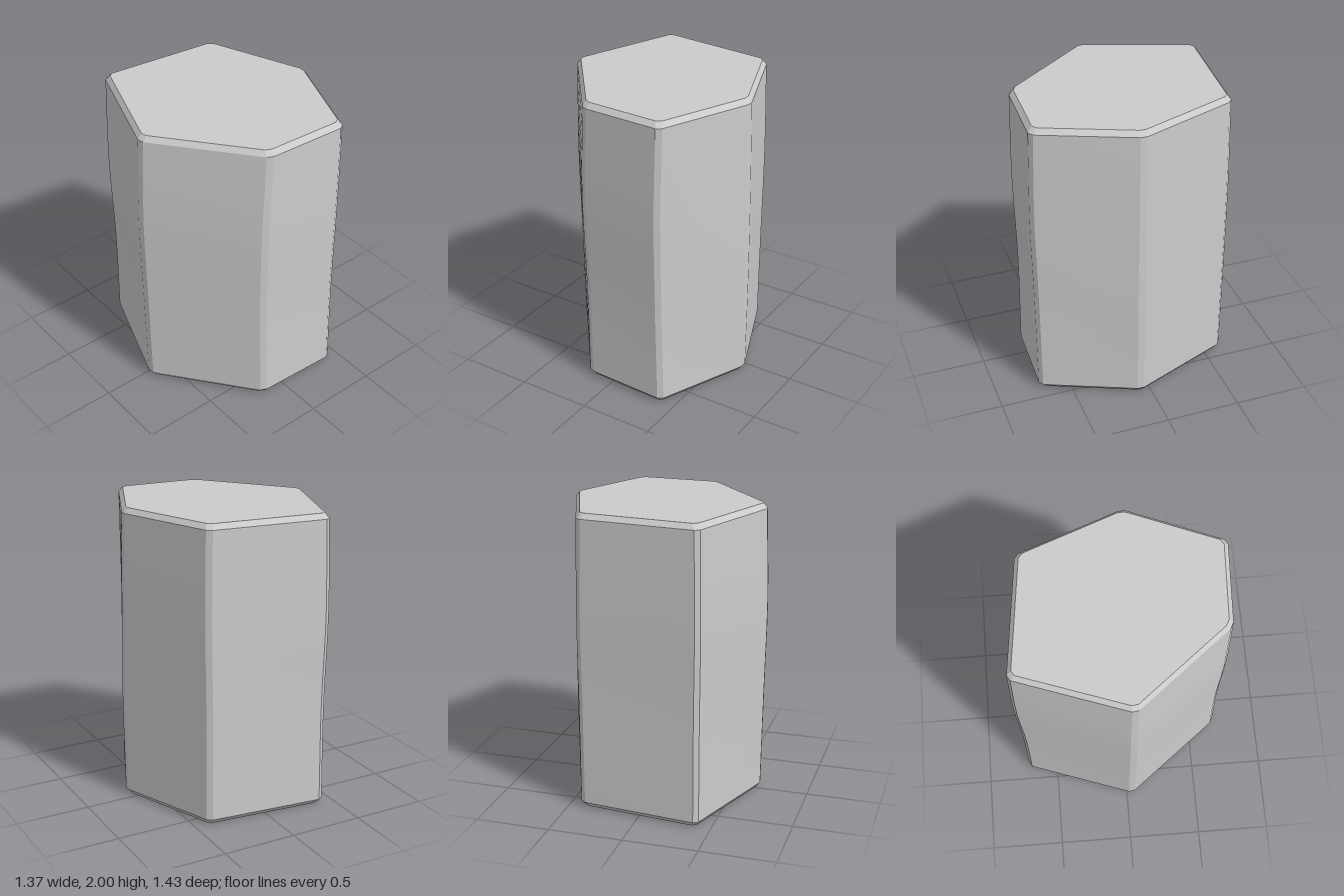
import * as THREE from 'three';
import { toCreasedNormals } from 'three/addons/utils/BufferGeometryUtils.js';

// Six column edges, clockwise from above; [x, z] at each of the four heights
const HEIGHTS = [0.035, 0.7, 1.35, 1.965];
const EDGES = [
  [[-0.41, -0.71], [-0.408, -0.705], [-0.415, -0.72], [-0.405, -0.71]],
  [[0.41, -0.625], [0.41, -0.63], [0.415, -0.628], [0.405, -0.62]],
  [[0.685, 0.07], [0.69, 0.075], [0.68, 0.07], [0.665, 0.065]],
  [[0.41, 0.71], [0.395, 0.71], [0.392, 0.717], [0.4, 0.705]],
  [[-0.172, 0.685], [-0.185, 0.672], [-0.195, 0.682], [-0.17, 0.678]],
  [[-0.675, 0.04], [-0.685, 0.04], [-0.695, 0.04], [-0.675, 0.045]],
];
const STEPS = 12;
const CHAMFER = 0.025;
const CAP_SCALE = 0.957;

// Cut every corner of a ring into two points
function chamferRing(corners) {
  const n = corners.length;
  return corners.flatMap((p, i) =>
    [corners[(i + n - 1) % n], corners[(i + 1) % n]].map((q) =>
      p.clone().add(q.clone().sub(p).setY(0).setLength(CHAMFER))));
}

function columnGeometry() {
  const curves = EDGES.map((edge) => new THREE.CatmullRomCurve3(
    edge.map(([x, z], i) => new THREE.Vector3(x, HEIGHTS[i], z))));

  // Gently bowed sides, with all rings kept level
  const rings = [];
  for (let s = 0; s <= STEPS; s++) {
    const corners = curves.map((c) => c.getPoint(s / STEPS));
    const y = corners[0].y;
    rings.push(chamferRing(corners.map((p) => p.setY(y))));
  }

  // Bevelled rims at both ends
  const cap = (ring, y) => ring.map((p) => new THREE.Vector3(p.x * CAP_SCALE, y, p.z * CAP_SCALE));
  rings.unshift(cap(rings[0], 0));
  rings.push(cap(rings[rings.length - 1], 2));

  const n = rings[0].length;
  const positions = rings.flat().flatMap((p) => p.toArray());
  const index = [];
  for (let r = 0; r < rings.length - 1; r++) {
    for (let j = 0; j < n; j++) {
      const k = (j + 1) % n;
      const a = r * n + j, b = r * n + k, c = b + n, d = a + n;
      index.push(a, d, c, a, c, b);
    }
  }

  // Flat end faces
  const bottom = rings.length * n, top = bottom + 1, last = (rings.length - 1) * n;
  positions.push(0, 0, 0, 0, 2, 0);
  for (let j = 0; j < n; j++) {
    const k = (j + 1) % n;
    index.push(bottom, j, k, top, last + k, last + j);
  }

  const geometry = new THREE.BufferGeometry();
  geometry.setAttribute('position', new THREE.Float32BufferAttribute(positions, 3));
  geometry.setIndex(index);
  return toCreasedNormals(geometry, 0.3);
}

export function createModel() {
  const group = new THREE.Group();
  group.name = 'hexagonalStoneColumn';
  const column = new THREE.Mesh(columnGeometry(), new THREE.MeshStandardMaterial({ color: 0xcccccc }));
  column.name = 'column';
  group.add(column);
  return group;
}
